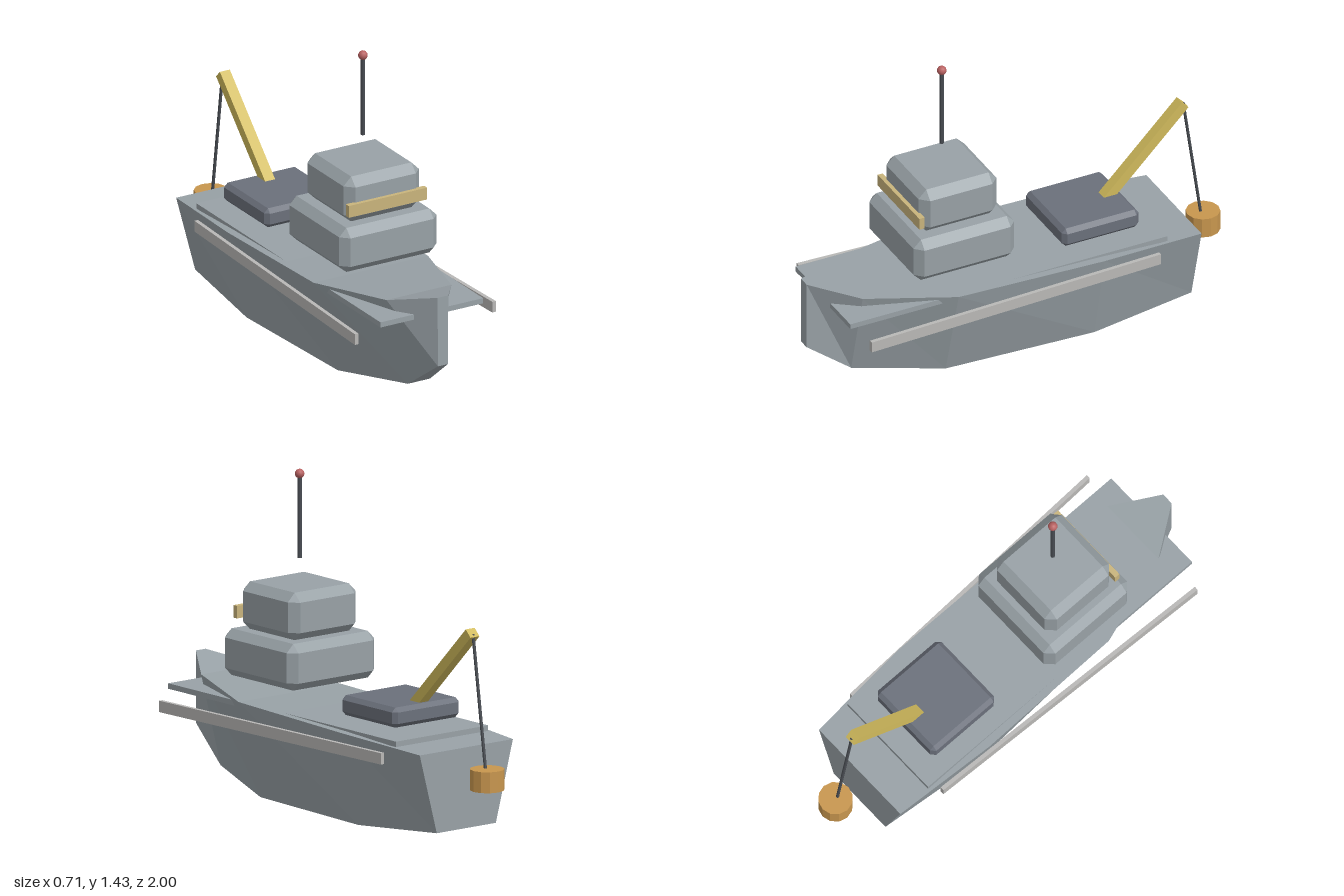
import * as THREE from 'three';
import { ConvexGeometry } from 'three/addons/geometries/ConvexGeometry.js';

const paint = (name, color, flat = true) => {
  const m = new THREE.MeshStandardMaterial({ color, flatShading: flat });
  m.name = name;
  return m;
};

// Box with every edge cut at 45 degrees
function chamferBox(w, h, d, c) {
  const pts = [];
  const half = [w / 2, h / 2, d / 2];
  for (const sx of [-1, 1]) for (const sy of [-1, 1]) for (const sz of [-1, 1]) {
    for (let axis = 0; axis < 3; axis++) {
      const p = half.map((v, i) => (i === axis ? v : v - c));
      pts.push(new THREE.Vector3(sx * p[0], sy * p[1], sz * p[2]));
    }
  }
  return new ConvexGeometry(pts);
}

// Hull skinned over four-cornered cross-sections, closed at stern and bow
function hullGeometry() {
  // z, bottom half width, bottom y, top half width, top y
  const sections = [
    [-0.785, 0.165, 0.04, 0.26, 0.395],
    [-0.3, 0.2, 0, 0.295, 0.417],
    [0.4, 0.165, 0, 0.287, 0.435],
    [0.8, 0.055, 0.058, 0.163, 0.472],
    [1, 0.025, 0.205, 0.027, 0.525],
  ];
  const pos = [], index = [];
  for (const [z, wb, yb, wt, yt] of sections) {
    pos.push(-wb, yb, z, wb, yb, z, wt, yt, z, -wt, yt, z);
  }
  const quad = (a, b, c, d) => index.push(a, b, c, a, c, d);
  const last = (sections.length - 1) * 4;
  for (let s = 0; s < last; s += 4) {
    for (let i = 0; i < 4; i++) {
      const j = (i + 1) % 4;
      quad(s + i, s + j, s + 4 + j, s + 4 + i);
    }
  }
  quad(3, 2, 1, 0);
  quad(last, last + 1, last + 2, last + 3);
  const g = new THREE.BufferGeometry();
  g.setAttribute('position', new THREE.Float32BufferAttribute(pos, 3));
  g.setIndex(index);
  const flat = g.toNonIndexed();
  flat.computeVertexNormals();
  return flat;
}

export function createModel() {
  const ship = new THREE.Group();
  ship.name = 'workShip';

  const grey = paint('hullGrey', 0x98a1a6);
  const pale = paint('paleTrim', 0xb9b8b6);
  const slate = paint('slate', 0x6b707b);
  const dark = paint('darkMetal', 0x484c52);
  const yellow = paint('craneYellow', 0xd0ba5c);
  const sand = paint('windowSand', 0xc9b47c);
  const orange = paint('bucketOrange', 0xc8964e);
  const red = paint('beaconRed', 0xb96262, false);

  const add = (name, geometry, material, x = 0, y = 0, z = 0) => {
    const mesh = new THREE.Mesh(geometry, material);
    mesh.name = name;
    mesh.position.set(x, y, z);
    ship.add(mesh);
    return mesh;
  };
  // Places a part whose long axis is y between two points
  const span = (name, make, material, from, to) => {
    const dir = to.clone().sub(from);
    const mesh = add(name, make(dir.length()), material);
    mesh.position.copy(from).add(to).multiplyScalar(0.5);
    mesh.quaternion.setFromUnitVectors(new THREE.Vector3(0, 1, 0), dir.normalize());
    return mesh;
  };

  // Hull and deck slab
  add('hull', hullGeometry(), grey);
  add('deck', new THREE.BoxGeometry(0.515, 0.024, 1.53), grey, 0, 0.416, 0.143);

  // Rub rails, splayed outward toward the bow
  for (const side of [-1, 1]) {
    const rail = add(side > 0 ? 'leftRail' : 'rightRail',
      new THREE.BoxGeometry(0.018, 0.05, 1.425), pale, side * 0.317, 0.349, 0.142);
    rail.rotation.y = side * 0.039;
  }

  // Superstructure
  add('lowerCabin', chamferBox(0.488, 0.205, 0.486, 0.036), grey, 0, 0.622, 0.335);
  add('bridge', chamferBox(0.378, 0.21, 0.376, 0.038), grey, 0, 0.827, 0.337);
  add('bridgeWindow', new THREE.BoxGeometry(0.393, 0.055, 0.025), sand, 0, 0.797, 0.531);

  // Mast with beacon
  add('mast', new THREE.CylinderGeometry(0.01, 0.01, 0.36, 8), dark, 0, 1.22, 0.335);
  add('beacon', new THREE.SphereGeometry(0.021, 12, 8), red, 0, 1.41, 0.335);

  // Winch house and crane
  add('winchHouse', chamferBox(0.372, 0.088, 0.37, 0.019), slate, 0, 0.502, -0.343);
  span('craneBoom', (l) => new THREE.BoxGeometry(0.05, l, 0.045), yellow,
    new THREE.Vector3(0, 0.445, -0.365), new THREE.Vector3(0, 0.905, -0.827));
  span('craneCable', (l) => new THREE.CylinderGeometry(0.007, 0.007, l, 8), dark,
    new THREE.Vector3(0, 0.9, -0.83), new THREE.Vector3(0, 0.31, -0.915));
  add('bucket', new THREE.CylinderGeometry(0.075, 0.075, 0.092, 12), orange, 0, 0.278, -0.925);

  return ship;
}
